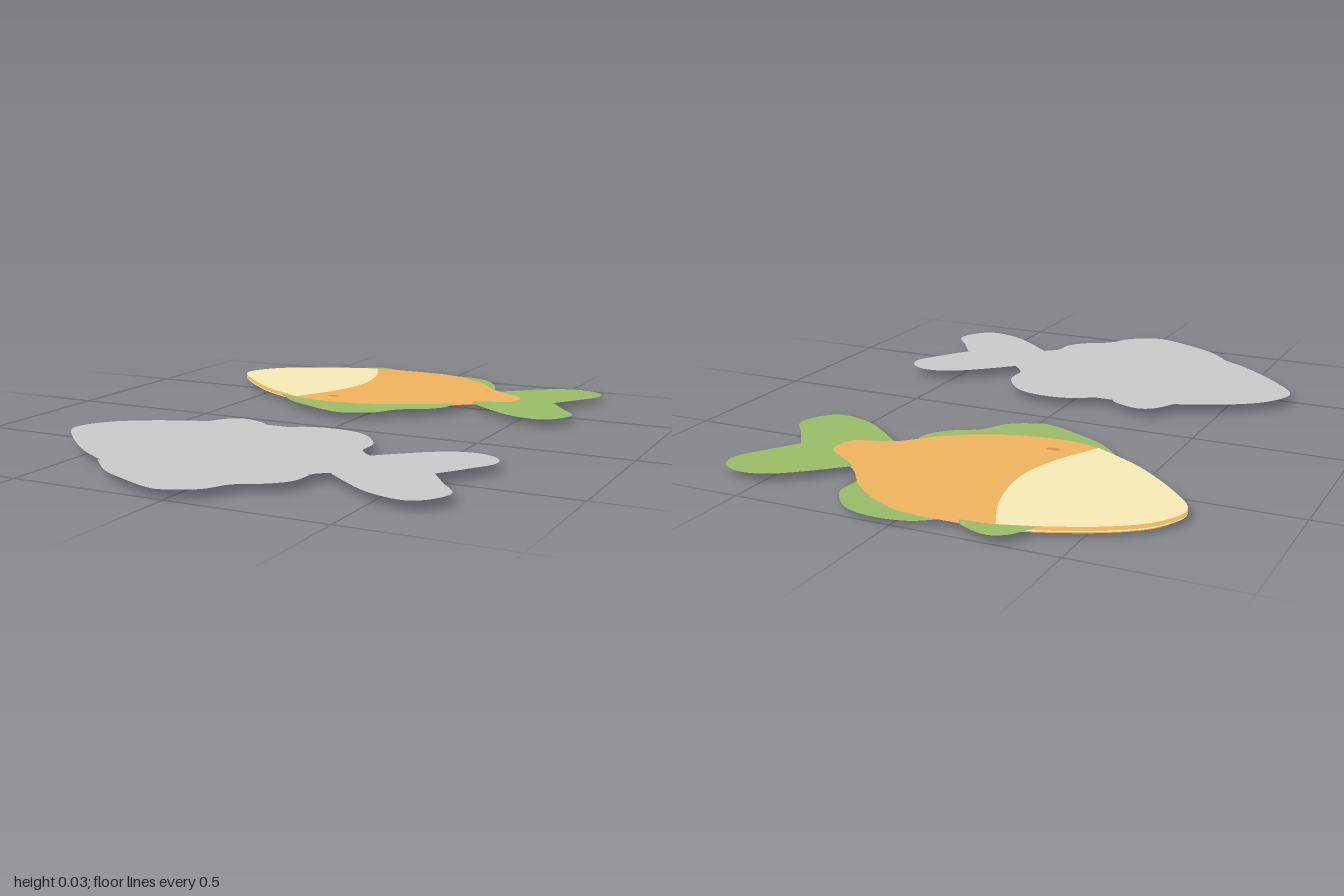
import * as THREE from 'three';

const ORANGE = 0xf2b55f, CREAM = 0xfbedb8, GREEN = 0x9abf69, BROWN = 0xa8622c, GREY = 0xcccccc;

// Outlines as [x, z] points; each run is one smooth curve, corners fall between runs
const headEdge = [[-0.3, -0.285], [-0.47, -0.385], [-0.63, -0.53], [-0.705, -0.64], [-0.66, -0.75],
  [-0.56, -0.83], [-0.42, -0.895], [-0.285, -0.94]];
const bodyEdge = [[-0.285, -0.94], [-0.15, -0.95], [0.03, -0.935], [0.19, -0.84], [0.29, -0.725], [0.41, -0.64],
  [0.43, -0.585], [0.41, -0.53], [0.29, -0.485], [0.16, -0.365], [-0.02, -0.28], [-0.2, -0.26], [-0.3, -0.285]];
const cheekEdge = [[-0.285, -0.94], [-0.22, -0.79], [-0.19, -0.61], [-0.22, -0.45], [-0.3, -0.285]];
const tail = [
  [[0.28, -0.7], [0.45, -0.85], [0.56, -0.89], [0.64, -0.86], [0.66, -0.79], [0.61, -0.7], [0.55, -0.61]],
  [[0.55, -0.61], [0.61, -0.525], [0.67, -0.44], [0.64, -0.355], [0.575, -0.32], [0.45, -0.36], [0.295, -0.48]],
];
const frontDorsal = [
  [[-0.385, -0.9], [-0.34, -0.975], [-0.28, -1], [-0.2, -0.97], [-0.175, -0.94]],
  [[-0.175, -0.94], [-0.28, -0.92]],
];
const rearDorsal = [
  [[-0.12, -0.94], [-0.05, -0.985], [0.055, -1], [0.16, -0.97], [0.24, -0.87], [0.25, -0.77], [0.285, -0.72]],
  [[0.285, -0.72], [0.18, -0.83], [0.03, -0.915], [-0.12, -0.94]],
];
const bellyFin = [
  [[0.28, -0.48], [0.25, -0.455], [0.24, -0.37], [0.19, -0.31], [0.11, -0.26], [0.065, -0.185], [0, -0.145],
    [-0.065, -0.13], [-0.18, -0.175], [-0.29, -0.235], [-0.385, -0.33]],
  [[-0.385, -0.33], [-0.2, -0.29], [-0.02, -0.31], [0.16, -0.39], [0.28, -0.48]],
];
const pectoral = [
  [[-0.15, -0.74], [-0.05, -0.755], [0.03, -0.69], [0.035, -0.6], [0.005, -0.52]],
  [[0.005, -0.52], [-0.08, -0.54], [-0.14, -0.62], [-0.15, -0.74]],
];
const browBand = [
  [[-0.705, -0.64], [-0.66, -0.75], [-0.56, -0.83], [-0.42, -0.895], [-0.285, -0.94]],
  [[-0.285, -0.94], [-0.41, -0.84], [-0.55, -0.76], [-0.64, -0.68], [-0.705, -0.64]],
];

function outline(runs) {
  const shape = new THREE.Shape();
  shape.moveTo(...runs[0][0]);
  for (const run of runs) shape.splineThru(run.slice(1).map(([x, z]) => new THREE.Vector2(x, z)));
  return shape;
}

function oval(x, z, rx, rz, turn = 0) {
  const shape = new THREE.Shape();
  shape.absellipse(x, z, rx, rz, 0, Math.PI * 2, false, turn);
  return shape;
}

// Lays a flat shape at height y
function sheet(name, shape, y, color) {
  const geo = new THREE.ShapeGeometry(shape, 8);
  geo.rotateX(Math.PI / 2).translate(0, y, 0);
  const mesh = new THREE.Mesh(geo, new THREE.MeshStandardMaterial({ color, side: THREE.DoubleSide }));
  mesh.name = name;
  return mesh;
}

function paintedFish() {
  const fish = new THREE.Group();
  fish.name = 'paintedFish';
  const body = outline([headEdge, bodyEdge]);
  const head = outline([headEdge, cheekEdge]);

  // Upper and lower skins with the fins between them
  fish.add(
    sheet('upperBody', body, 0.029, ORANGE),
    sheet('upperHead', head, 0.03, CREAM),
    sheet('upperSpot', oval(-0.18, -0.35, 0.022, 0.012), 0.03, 0xe09045),
    sheet('tailFin', outline(tail), 0.024, GREEN),
    sheet('frontDorsalFin', outline(frontDorsal), 0.024, GREEN),
    sheet('bellyFin', outline(bellyFin), 0.024, GREEN),
    sheet('lowerBody', body, 0.018, ORANGE),
    sheet('lowerHead', head, 0.015, CREAM),
    sheet('browBand', outline(browBand), 0.012, 0xd9b050),
  );

  // Rear dorsal fin, twisted downward toward the tail
  const dorsal = sheet('rearDorsalFin', outline(rearDorsal), 0, GREEN);
  const p = dorsal.geometry.attributes.position;
  for (let i = 0; i < p.count; i++) {
    const along = THREE.MathUtils.clamp((p.getX(i) + 0.07) / 0.32, 0, 1);
    const inward = THREE.MathUtils.clamp((p.getZ(i) + 0.95) / 0.17, 0, 1);
    p.setY(i, 0.015 - 0.01 * along * inward);
  }
  dorsal.geometry.computeVertexNormals();
  fish.add(dorsal);

  // Markings and eye on the underside
  for (const [x, z] of [[0.14, -0.62], [0.13, -0.69], [0.21, -0.64], [0.045, -0.82], [-0.055, -0.81], [-0.14, -0.85]])
    fish.add(sheet('spot', oval(x, z, 0.026, 0.017, 0.6), 0.013, BROWN));
  for (const [x, z] of [[0.13, -0.445], [-0.045, -0.365]])
    fish.add(sheet('paleStripe', oval(x, z, 0.035, 0.09), 0.013, 0xe9c896));
  fish.add(
    sheet('pectoralFin', outline(pectoral), 0.009, GREEN),
    sheet('eyeRim', oval(-0.345, -0.605, 0.122, 0.122), 0.009, 0x1c1c1c),
    sheet('eyeWhite', oval(-0.345, -0.605, 0.113, 0.113), 0.006, 0xb8b8b8),
    sheet('pupil', oval(-0.36, -0.615, 0.098, 0.098), 0.003, 0x080808),
    sheet('eyeGlint', oval(-0.31, -0.635, 0.03, 0.03), 0, 0xd8d8d8),
  );
  return fish;
}

// Plain grey fish with the same outlines, lying beside the painted one
function plainFish() {
  const fish = new THREE.Group();
  fish.name = 'plainFish';
  const parts = { plainBody: [headEdge, bodyEdge], plainTail: tail, plainFrontDorsal: frontDorsal,
    plainRearDorsal: rearDorsal, plainBelly: bellyFin };
  Object.entries(parts).forEach(([name, runs], i) =>
    fish.add(sheet(name, outline(runs), 0.03 - i * 0.0004, GREY)));
  fish.position.set(0.025, 0, 1.13);
  return fish;
}

export function createModel() {
  const model = new THREE.Group();
  model.name = 'flatFishPair';
  model.add(paintedFish(), plainFish());
  return model;
}
